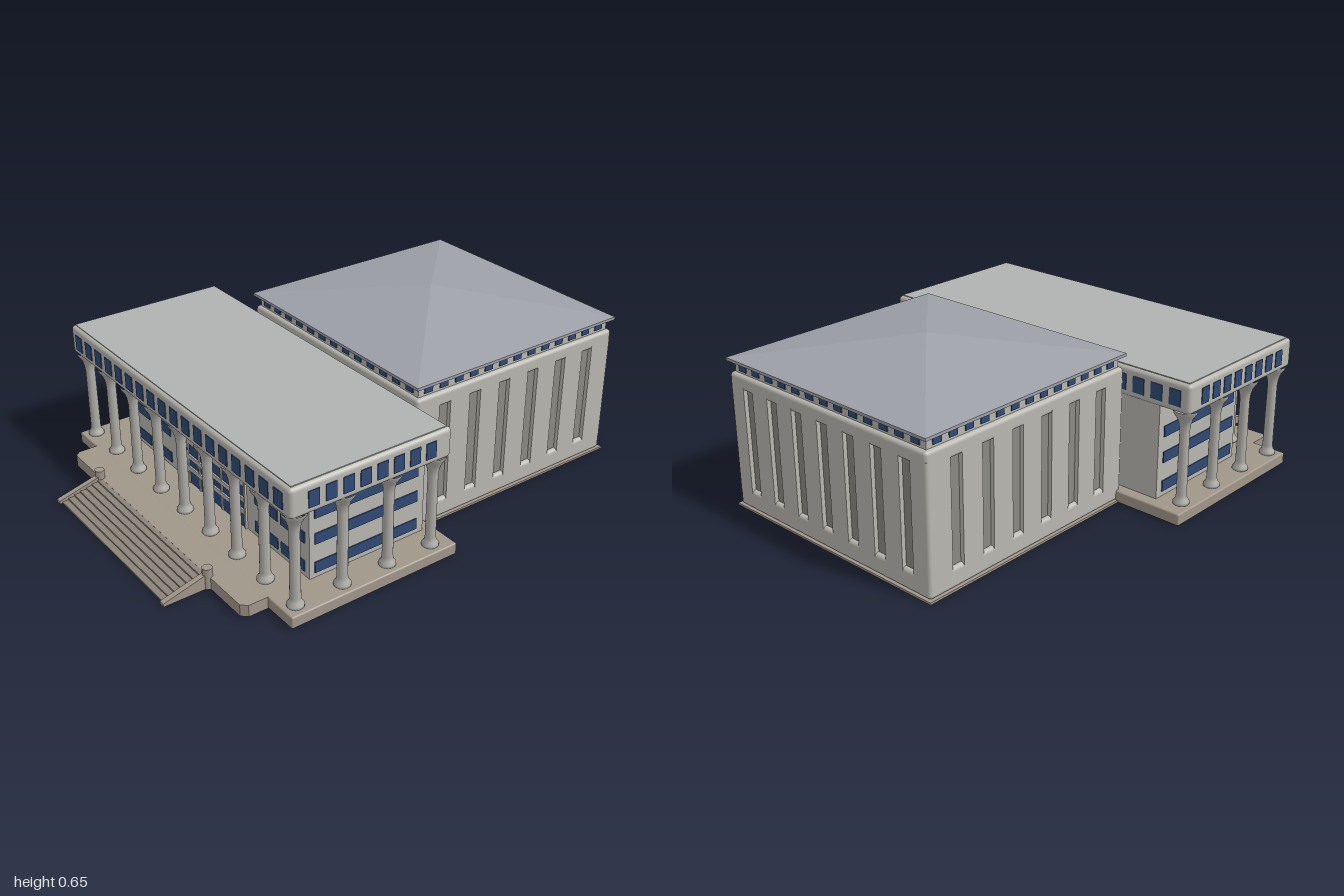
import * as THREE from 'three';
import { RoundedBoxGeometry } from 'three/addons/geometries/RoundedBoxGeometry.js';

const mat = (color, extra = {}) => {
  const m = new THREE.MeshStandardMaterial({ color });
  return Object.assign(m, extra);
};

export function createModel() {
  const root = new THREE.Group();
  root.name = 'hall';
  // the whole building stands turned on its plot
  const hall = new THREE.Group();
  hall.name = 'building';
  hall.rotation.y = THREE.MathUtils.degToRad(-39.6);
  root.add(hall);

  const wall = mat(0xb9b7b0), stone = mat(0xa0978a), groove = mat(0x8a8983);
  const glass = mat(0x2f4a75), flatRoof = mat(0xb0b3b2), hipRoof = mat(0x9da1a8, { flatShading: true });
  const stairMat = mat(0x8b8479), column = mat(0xb0aea8);

  const add = (name, geo, material, x = 0, y = 0, z = 0) => {
    const m = new THREE.Mesh(geo, material);
    m.name = name;
    m.position.set(x, y, z);
    hall.add(m);
    return m;
  };
  // box given by its limits
  const box = (name, material, x0, x1, y0, y1, z0, z1, r = 0) => {
    const s = [x1 - x0, y1 - y0, z1 - z0];
    const geo = r ? new RoundedBoxGeometry(...s, 3, r) : new THREE.BoxGeometry(...s);
    return add(name, geo, material, (x0 + x1) / 2, (y0 + y1) / 2, (z0 + z1) / 2);
  };
  // profile in (z, y), extruded along x around centre cx
  const profile = (name, pts, width, cx, material) => {
    const geo = new THREE.ExtrudeGeometry(new THREE.Shape(pts.map(p => new THREE.Vector2(...p))),
      { depth: width, bevelEnabled: false });
    geo.translate(0, 0, -width / 2).rotateY(-Math.PI / 2);
    return add(name, geo, material, cx);
  };
  // row of n flat panes on a wall facing 'x' or 'z'
  const panes = (name, axis, at, from, to, n, w, h, y) => {
    for (let i = 0; i < n; i++) {
      const p = from + (to - from) * i / (n - 1);
      if (axis === 'x') add(name, new THREE.BoxGeometry(0.008, h, w), glass, at, y, p);
      else add(name, new THREE.BoxGeometry(w, h, 0.008), glass, p, y, at);
    }
  };

  // ---- rear auditorium ----
  const X0 = -0.452, X1 = 0.526, Z0 = -0.916, Z1 = 0.03, CX = (X0 + X1) / 2, CZ = (Z0 + Z1) / 2;
  const D = 0.016, GW = 0.05;
  box('rearGroundSlab', stone, X0 - 0.008, X1 + 0.008, 0, 0.008, Z0 - 0.008, 0.1);
  box('grooveBacking', groove, X0 + D, X1 - D, 0.05, 0.5, Z0 + D, Z1 - D);
  box('rearWallFoot', wall, X0, X1, 0.006, 0.08, Z0, Z1, 0.014);
  box('rearWallTop', wall, X0, X1, 0.46, 0.515, Z0, Z1, 0.014);

  // wall piers between the grooves
  const piers = (a, b, n, pitch, place) => {
    const c = (a + b) / 2, cuts = [a];
    for (let i = 0; i < n; i++) {
      const p = c + (i - (n - 1) / 2) * pitch;
      cuts.push(p - GW / 2, p + GW / 2);
    }
    cuts.push(b);
    for (let i = 0; i < cuts.length; i += 2) place(cuts[i], cuts[i + 1]);
  };
  const Y0 = 0.06, Y1 = 0.48, R = 0.012;
  piers(X0 + R, X1 - R, 7, 0.13, (a, b) => {
    box('rearPier', wall, a, b, Y0, Y1, Z0, Z0 + 0.03);
  });
  box('rearFrontWall', wall, X0 + R, X1 - R, Y0, Y1, Z1 - 0.03, Z1);
  piers(Z0 + R, Z1 - R, 6, 0.139, (a, b) => {
    box('leftPier', wall, X1 - 0.03, X1, Y0, Y1, a, b);
    box('rightPier', wall, X0, X0 + 0.03, Y0, Y1, a, b);
  });
  for (const x of [X0 + R, X1 - R]) for (const z of [Z0 + R, Z1 - R])
    add('roundedCorner', new THREE.CylinderGeometry(R, R, Y1 - Y0, 16), wall, x, (Y0 + Y1) / 2, z);

  // window strip below the hipped roof
  const I = 0.016;
  box('clerestory', wall, X0 + I, X1 - I, 0.5, 0.558, Z0 + I, Z1 - I);
  for (const z of [Z0 + I, Z1 - I]) panes('clerestoryWindow', 'z', z, X0 + 0.06, X1 - 0.06, 13, 0.038, 0.024, 0.536);
  for (const x of [X0 + I, X1 - I]) panes('clerestoryWindow', 'x', x, Z0 + 0.06, Z1 - 0.06, 13, 0.036, 0.024, 0.536);
  box('eaves', hipRoof, X0 - 0.005, X1 + 0.005, 0.555, 0.566, Z0 - 0.005, Z1 + 0.005);
  const hip = new THREE.CylinderGeometry(0, Math.SQRT1_2, 0.084, 4, 1, true);
  hip.rotateY(Math.PI / 4).scale(X1 - X0 + 0.01, 1, Z1 - Z0 + 0.01);
  add('hippedRoof', hip, hipRoof, CX, 0.608, CZ);

  // ---- platform and stairs ----
  box('platform', stone, -0.728, 0.728, 0, 0.045, 0.005, 0.692, 0.006);
  const porch = new THREE.Shape([[-0.592, 0.6], [0.592, 0.6], [0.592, 0.765], [0.572, 0.786],
    [-0.572, 0.786], [-0.592, 0.765]].map(p => new THREE.Vector2(...p)));
  const porchGeo = new THREE.ExtrudeGeometry(porch, { depth: 0.0445, bevelEnabled: false });
  porchGeo.rotateX(Math.PI / 2);
  add('frontTerrace', porchGeo, stone, 0, 0.0445, 0);

  const steps = 7, zs = 0.78, run = 0.17, rise = 0.044, stepPts = [[zs, 0]];
  for (let i = 0; i < steps; i++) {
    const y = rise * (1 - i / steps);
    stepPts.push([zs + run * i / steps, y], [zs + run * (i + 1) / steps, y]);
  }
  stepPts.push([zs + run, 0]);
  profile('stairs', stepPts.reverse(), 0.74, 0, stairMat);
  for (const s of [-1, 1]) {
    profile('stairCheek', [[0.78, 0], [0.96, 0], [0.96, 0.012], [0.78, 0.06]], 0.022, s * 0.376, stone);
    add('stairPost', new THREE.CylinderGeometry(0.019, 0.019, 0.078, 8), stone, s * 0.378, 0.039, 0.786);
  }

  // ---- front block ----
  const W = 0.597, F = 0.53, B = 0.05;
  box('innerBuilding', wall, -W, W, 0.03, 0.42, B, F);
  for (const y of [0.085, 0.197, 0.297]) {
    for (const s of [-1, 1]) {
      for (const x of [0.35, 0.505])
        add('frontWindow', new THREE.BoxGeometry(0.135, 0.042, 0.008), glass, s * x, y, F);
      add('sideWindow', new THREE.BoxGeometry(0.008, 0.042, 0.43), glass, s * W, y, 0.295);
    }
  }
  // glazed entrance with bars
  box('entranceGlass', glass, -0.225, 0.225, 0.045, 0.4, F, F + 0.004);
  for (const y of [0.11, 0.16, 0.225, 0.265, 0.325, 0.365])
    box('glazingBar', wall, -0.225, 0.225, y - 0.009, y + 0.009, F, F + 0.01);
  for (let i = 0; i <= 6; i++) {
    const x = -0.225 + i * 0.075;
    box('mullion', wall, x - 0.005, x + 0.005, 0.045, 0.4, F, F + 0.008);
  }

  // colonnade on three sides, with flared capitals
  const shaft = new THREE.LatheGeometry([[0, 0.045], [0.03, 0.045], [0.03, 0.055], [0.022, 0.066],
    [0.019, 0.08], [0.018, 0.325], [0.021, 0.35], [0.028, 0.372], [0.042, 0.392], [0.044, 0.405]]
    .map(p => new THREE.Vector2(...p)), 20);
  const post = (x, z) => add('column', shaft, column, x, 0, z);
  for (let i = 0; i < 9; i++) post(-0.68 + i * 0.17, 0.645);
  for (const s of [-1, 1]) for (let i = 0; i < 3; i++) post(s * 0.68, 0.085 + i * 0.187);

  // window storey and flat roof
  box('upperStorey', wall, -0.722, 0.722, 0.4, 0.512, 0.046, 0.688, 0.016);
  box('flatRoof', flatRoof, -0.708, 0.708, 0.5, 0.515, 0.06, 0.674);
  panes('upperWindow', 'z', 0.687, -0.66, 0.66, 18, 0.048, 0.06, 0.455);
  for (const s of [-1, 1]) {
    panes('upperWindow', 'x', s * 0.721, 0.135, 0.6, 8, 0.042, 0.06, 0.455);
  }
  panes('upperWindow', 'z', 0.047, -0.66, 0.66, 18, 0.048, 0.06, 0.455);

  return root;
}
